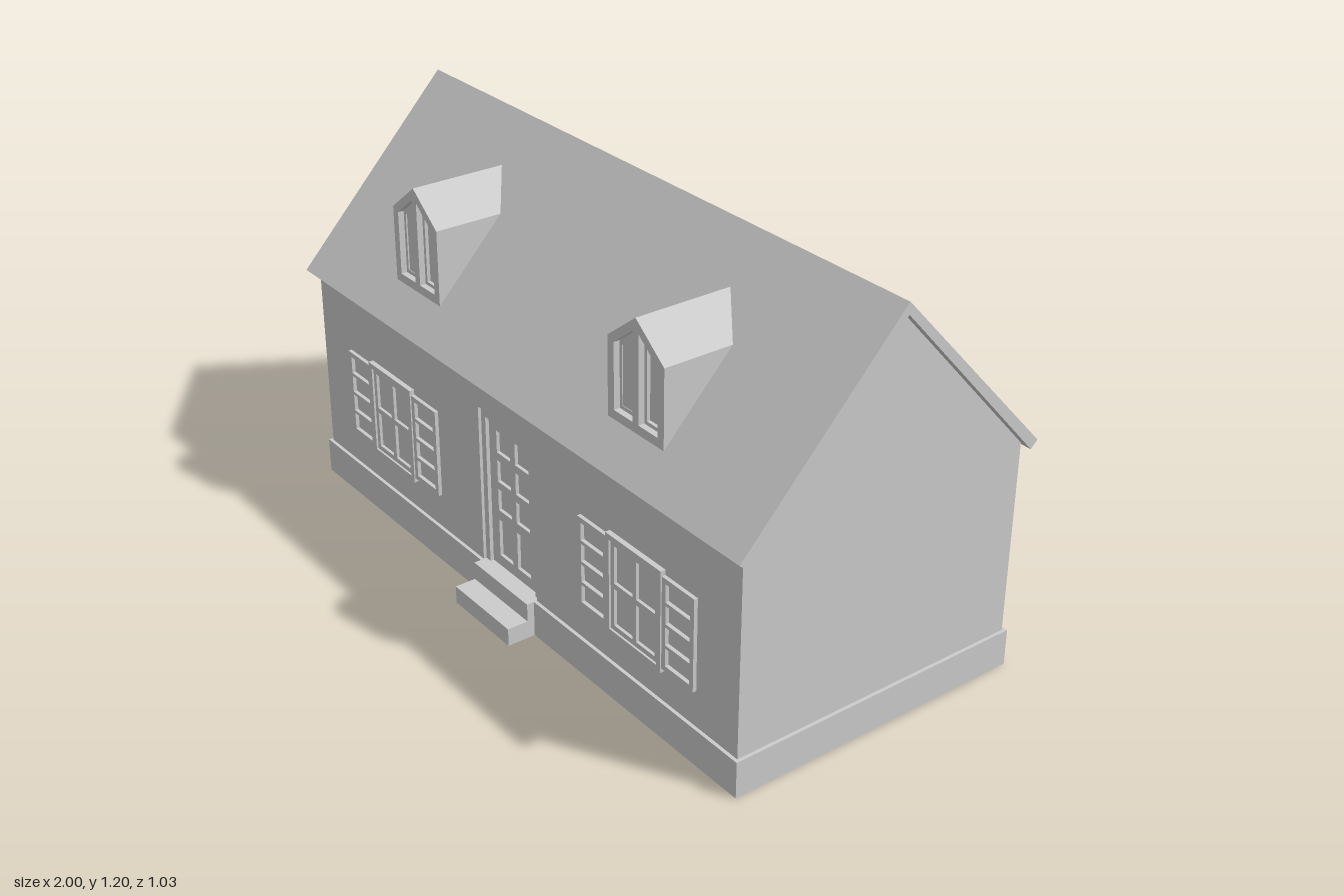
import * as THREE from 'three';

const material = new THREE.MeshStandardMaterial({ color: 0xcccccc, flatShading: true });

function add(parent, name, geometry) {
  const mesh = new THREE.Mesh(geometry, material);
  mesh.name = name;
  parent.add(mesh);
  return mesh;
}

// Box given by its limits on each axis
function box(parent, name, x0, x1, y0, y1, z0, z1) {
  const g = new THREE.BoxGeometry(x1 - x0, y1 - y0, z1 - z0);
  g.translate((x0 + x1) / 2, (y0 + y1) / 2, (z0 + z1) / 2);
  return add(parent, name, g);
}

const outline = (pts) => pts.map(([x, y]) => new THREE.Vector2(x, y));
const rect = (x0, x1, y0, y1) => [[x0, y0], [x1, y0], [x1, y1], [x0, y1]];

// Outline in x and y with openings, reaching from z0 to z1
function slab(parent, name, pts, holes, z0, z1) {
  const shape = new THREE.Shape(outline(pts));
  holes.forEach((h) => shape.holes.push(new THREE.Path(outline(h))));
  const g = new THREE.ExtrudeGeometry(shape, { depth: z1 - z0, bevelEnabled: false });
  g.translate(0, 0, z0);
  return add(parent, name, g);
}

// Cross-section in z and y, running along x for the given length
function prismX(parent, name, pts, length) {
  const g = new THREE.ExtrudeGeometry(new THREE.Shape(outline(pts)), { depth: length, bevelEnabled: false });
  g.translate(0, 0, -length / 2);
  g.rotateY(-Math.PI / 2);
  return add(parent, name, g);
}

// Grid of rectangular openings inside a rectangle
function openings(x0, x1, y0, y1, cols, rows, gap) {
  const w = (x1 - x0 - gap * (cols - 1)) / cols;
  const h = (y1 - y0 - gap * (rows - 1)) / rows;
  const list = [];
  for (let c = 0; c < cols; c++) {
    for (let r = 0; r < rows; r++) {
      const x = x0 + c * (w + gap), y = y0 + r * (h + gap);
      list.push(rect(x, x + w, y, y + h));
    }
  }
  return list;
}

function createWindow(x) {
  const g = new THREE.Group();
  g.name = 'shutteredWindow';
  g.position.x = x;
  slab(g, 'windowCasing', rect(-0.113, 0.113, 0.2, 0.497), [rect(-0.098, 0.098, 0.216, 0.481)], 0.415, 0.435);
  slab(g, 'windowSash', rect(-0.098, 0.098, 0.216, 0.481),
    openings(-0.084, 0.084, 0.231, 0.467, 2, 2, 0.016), 0.415, 0.429);
  for (const s of [-1, 1]) {
    const a = s < 0 ? -0.238 : 0.113, b = a + 0.125;
    slab(g, 'shutter', rect(a, b, 0.213, 0.482),
      openings(a + 0.015, b - 0.015, 0.228, 0.467, 1, 4, 0.01), 0.415, 0.431);
  }
  return g;
}

function createDormer(x) {
  const g = new THREE.Group();
  g.name = 'dormer';
  g.position.x = x;
  const gable = (z) => [[-0.112, 0.769], [0.112, 0.769], [0.112, 0.992], [0, 1.08], [-0.112, 0.992]];
  // Solid part runs back into the roof
  slab(g, 'dormerBody', gable(), [], 0.04, 0.34);
  // Front frame with a pair of slope-topped lights
  const pane = (s, i) => [[s * (0.012 + i), 0.796 + i], [s * (0.087 - i), 0.796 + i],
    [s * (0.087 - i), 0.982 - i], [s * (0.012 + i), 1.041 - i * 1.7]];
  slab(g, 'dormerFrame', gable(), [pane(-1, 0), pane(1, 0)], 0.34, 0.368);
  for (const s of [-1, 1]) slab(g, 'dormerSash', pane(s, 0), [pane(s, 0.01)], 0.335, 0.35);
  return g;
}

export function createModel() {
  const house = new THREE.Group();
  house.name = 'house';

  // Foundation and front steps
  box(house, 'foundation', -0.985, 0.985, 0, 0.107, -0.49, 0.43);
  box(house, 'upperStep', -0.13, 0.13, 0, 0.107, 0.42, 0.452);
  box(house, 'lowerStep', -0.13, 0.13, 0, 0.053, 0.42, 0.515);

  // Gabled body, and a front wall with the door opening
  prismX(house, 'walls', [[-0.48, 0.1], [0.39, 0.1], [0.39, 0.713], [-0.03, 1.17], [-0.48, 0.682]], 1.95);
  slab(house, 'frontWall', [[-0.975, 0.1], [-0.13, 0.1], [-0.13, 0.588], [0.13, 0.588],
    [0.13, 0.1], [0.975, 0.1], [0.975, 0.684], [-0.975, 0.684]], [], 0.39, 0.42);

  // Roof with an even thickness and square-cut eaves
  prismX(house, 'roof', [[0.452, 0.68], [-0.03, 1.198], [-0.512, 0.68],
    [-0.49, 0.66], [-0.03, 1.165], [0.43, 0.66]], 2);

  // Door set back in the wall, with panes above two tall panels
  const door = new THREE.Group();
  door.name = 'door';
  house.add(door);
  slab(door, 'doorFrame', [[-0.13, 0.107], [-0.11, 0.107], [-0.11, 0.562], [0.11, 0.562],
    [0.11, 0.107], [0.13, 0.107], [0.13, 0.588], [-0.13, 0.588]], [], 0.388, 0.411);
  slab(door, 'doorLeaf', rect(-0.11, 0.11, 0.107, 0.562), [
    ...openings(-0.075, 0.075, 0.285, 0.532, 2, 3, 0.024),
    ...openings(-0.075, 0.075, 0.14, 0.255, 2, 1, 0.024)], 0.388, 0.4);

  for (const s of [-1, 1]) {
    house.add(createWindow(s * 0.577));
    house.add(createDormer(s * 0.5));
  }
  return house;
}
